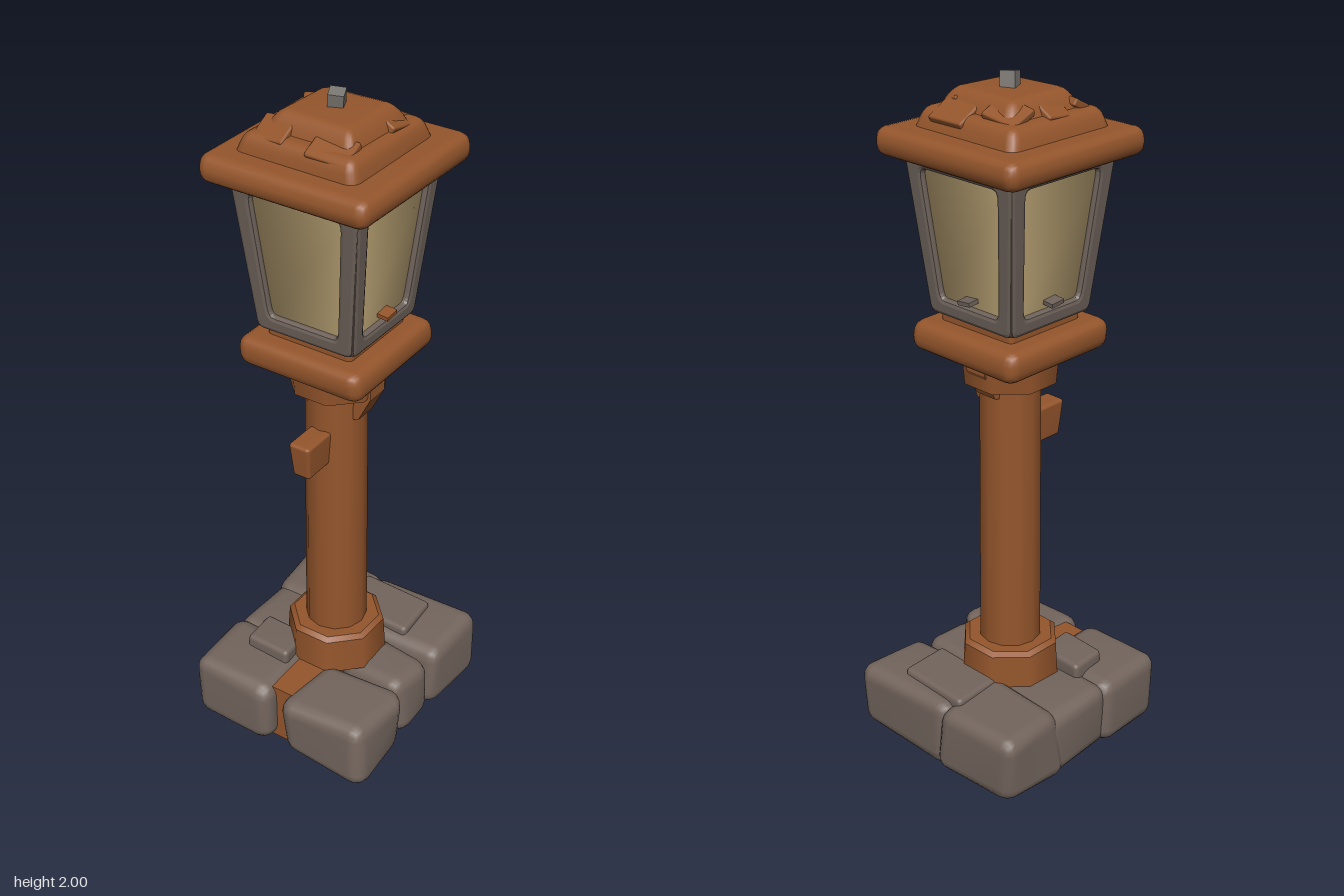
import * as THREE from 'three';
import { mergeVertices } from 'three/addons/utils/BufferGeometryUtils.js';
import { RoundedBoxGeometry } from 'three/addons/geometries/RoundedBoxGeometry.js';

const material = (name, color) => {
  const m = new THREE.MeshStandardMaterial({ color });
  m.name = name;
  return m;
};

export function createModel() {
  const root = new THREE.Group();
  root.name = 'lampPost';
  const wood = material('wood', 0x95562c);
  const stone = material('stone', 0x73655d);
  const iron = material('iron', 0x6e625a);
  const glass = material('glass', 0xbfa777);
  const metal = material('metal', 0x7a7671);

  const add = (name, geometry, mat, pos = [0, 0, 0], rot = [0, 0, 0], parent = root) => {
    const mesh = new THREE.Mesh(geometry, mat);
    mesh.name = name;
    mesh.position.set(...pos);
    mesh.rotation.set(...rot);
    parent.add(mesh);
    return mesh;
  };

  // Soft worn block: rounded box with tapered top and a smooth wobble
  const block = (w, h, d, { r = 0.02, top = 1, wobble = 0, seed = 0, seg = 2 } = {}) => {
    let g = new RoundedBoxGeometry(w, h, d, seg, r);
    const p = g.attributes.position;
    for (let i = 0; i < p.count; i++) {
      const x = p.getX(i), y = p.getY(i), z = p.getZ(i);
      const k = 1 + (top - 1) * (y / h + 0.5);
      p.setXYZ(i,
        x * k + wobble * Math.sin(17 * z + 13 * y + seed),
        y + (y > 0 ? wobble * 0.6 * Math.sin(15 * x + 19 * z + seed * 2) : 0),
        z * k + wobble * Math.sin(16 * x - 14 * y + seed * 3));
    }
    if (wobble || top !== 1) {
      g.deleteAttribute('normal');
      g.deleteAttribute('uv');
      g = mergeVertices(g, 1e-4);
      g.computeVertexNormals();
    }
    return g;
  };

  // Stone footing: [x0, x1, z0, z1, height]
  const stones = [
    [-0.31, -0.025, 0.08, 0.335, 0.21],
    [0.02, 0.31, 0.09, 0.335, 0.205],
    [-0.06, 0.31, -0.335, -0.08, 0.21],
    [-0.315, -0.02, -0.335, -0.09, 0.215],
    [-0.305, -0.05, -0.15, 0.12, 0.2],
    [0.06, 0.29, -0.085, 0.085, 0.2],
  ];
  stones.forEach(([x0, x1, z0, z1, h], i) =>
    add('footingStone' + (i + 1),
      block(x1 - x0, h, z1 - z0, { r: 0.045, top: 0.97, wobble: 0.008, seed: i * 1.7 }),
      stone, [(x0 + x1) / 2, h / 2, (z0 + z1) / 2]));
  add('footingSlab', block(0.15, 0.06, 0.12, { r: 0.015, wobble: 0.004 }), stone, [-0.13, 0.215, 0.13]);
  add('footingSlabBack', block(0.24, 0.05, 0.16, { r: 0.015, wobble: 0.004 }), stone, [0.05, 0.205, -0.2]);
  add('footingCore', new THREE.BoxGeometry(0.1, 0.19, 0.55), wood, [0, 0.1, 0.01]);

  // Post with eight-sided collars
  const collar = (name, rTop, rBottom, y0, y1) =>
    add(name, new THREE.CylinderGeometry(rTop, rBottom, y1 - y0, 8).rotateY(Math.PI / 8), wood, [0, (y0 + y1) / 2, 0]);
  add('post', new THREE.CylinderGeometry(0.088, 0.092, 1.0, 12), wood, [0, 0.7, 0]);
  collar('baseCollar', 0.145, 0.152, 0.19, 0.3);
  collar('baseCollarBevel', 0.13, 0.145, 0.3, 0.312);
  collar('topCollar', 0.143, 0.136, 1.14, 1.215);
  collar('topCollarLip', 0.17, 0.143, 1.205, 1.24);

  // Wedge braces under the capital
  const wedge = new THREE.Shape([[0.05, 1.05], [0.095, 1.06], [0.135, 1.14], [0.135, 1.2], [0.05, 1.2]]
    .map(([x, y]) => new THREE.Vector2(x, y)));
  const braceGeometry = new THREE.ExtrudeGeometry(wedge, { depth: 0.07, bevelEnabled: false }).translate(0, 0, -0.035);
  add('sideBrace', braceGeometry, wood);
  add('backBrace', braceGeometry, wood, [0, 0.05, 0], [0, Math.PI / 2, 0]);

  // Peg on the front of the post, narrower at its foot
  add('peg', block(0.056, 0.11, 0.11, { r: 0.01, top: 1.25 }), wood, [0, 0.965, 0.12]);

  // Capital that carries the lantern
  add('capital', block(0.395, 0.09, 0.395, { r: 0.035, wobble: 0.003 }), wood, [0, 1.268, 0]);
  add('lanternSeat', block(0.27, 0.05, 0.27, { r: 0.015 }), wood, [0, 1.322, 0]);

  // Lantern: four leaning frames with rounded openings
  const lantern = new THREE.Group();
  lantern.name = 'lantern';
  root.add(lantern);
  const y0 = 1.335, y1 = 1.79, b0 = 0.156, b1 = 0.2, bevel = 0.012;
  const lean = Math.atan((b1 - b0) / (y1 - y0));
  const height = (y1 - y0) / Math.cos(lean);

  const frameShape = new THREE.Shape();
  frameShape.moveTo(-b0 + 0.025, bevel);
  frameShape.lineTo(b0 - 0.025, bevel);
  frameShape.quadraticCurveTo(b0 - bevel, bevel, b0 - bevel, 0.035);
  frameShape.lineTo(b1 - bevel, height);
  frameShape.lineTo(-b1 + bevel, height);
  frameShape.lineTo(-b0 + bevel, 0.035);
  frameShape.quadraticCurveTo(-b0 + bevel, bevel, -b0 + 0.025, bevel);

  const corners = [[-0.119, 0.036], [0.119, 0.036], [0.153, 0.425], [-0.153, 0.425]].map(([x, y]) => new THREE.Vector2(x, y));
  const opening = new THREE.Path();
  corners.forEach((c, i) => {
    const a = c.clone().lerp(corners[(i + 3) % 4], 0.1);
    const b = c.clone().lerp(corners[(i + 1) % 4], 0.1);
    if (i) opening.lineTo(a.x, a.y);
    else opening.moveTo(a.x, a.y);
    opening.quadraticCurveTo(c.x, c.y, b.x, b.y);
  });
  opening.closePath();
  frameShape.holes.push(opening);
  const frameGeometry = new THREE.ExtrudeGeometry(frameShape, {
    depth: 0.012, bevelThickness: bevel, bevelSize: bevel, bevelSegments: 2, curveSegments: 4,
  }).translate(0, 0, -0.012 - bevel);

  for (let i = 0; i < 4; i++) {
    const side = new THREE.Group();
    side.name = 'lanternSide' + (i + 1);
    side.rotation.y = i * Math.PI / 2;
    lantern.add(side);
    add('frame', frameGeometry, iron, [0, y0, b0], [lean, 0, 0], side);
    if (i) add('latch', new THREE.BoxGeometry(0.045, 0.012, 0.035), i === 1 ? wood : iron, [0, 1.405, 0.16], [0.1, 0, 0.1], side);
  }
  // Glass body inside the frames
  const inset = 0.018;
  add('glass', new THREE.CylinderGeometry((b1 - inset) * Math.SQRT2, (b0 - inset) * Math.SQRT2, y1 - y0 - 0.02, 4, 1, false, Math.PI / 4),
    glass, [0, (y0 + y1) / 2, 0], [0, 0, 0], lantern);
  add('lanternFloor', new THREE.BoxGeometry(0.28, 0.02, 0.28), iron, [0, 1.346, 0], [0, 0, 0], lantern);

  // Roof: eave slab and two lumpy layers
  const roof = new THREE.Group();
  roof.name = 'roof';
  root.add(roof);
  add('eave', block(0.515, 0.08, 0.515, { r: 0.034, wobble: 0.003, seed: 1 }), wood, [0, 1.812, 0], [0, 0, 0], roof);
  add('lowerRoof', block(0.39, 0.09, 0.39, { r: 0.03, top: 0.86, wobble: 0.006, seed: 2 }), wood, [0, 1.864, 0], [0, 0, 0], roof);
  add('upperRoof', block(0.33, 0.1, 0.31, { r: 0.035, top: 0.68, wobble: 0.006, seed: 4 }), wood, [0, 1.904, 0], [0, 0, 0], roof);

  // Loose shingles on the slopes: [x, y, z, width, tilt about x, tilt about z]
  [
    [-0.1, 1.908, 0.125, 0.1, 0.5, 0.1], [0.08, 1.902, 0.135, 0.12, 0.45, -0.05],
    [0.115, 1.918, -0.07, 0.08, -0.2, -0.45], [-0.09, 1.918, -0.1, 0.11, -0.4, 0.2],
    [-0.125, 1.912, 0.02, 0.08, 0.1, 0.5], [0.06, 1.9, -0.14, 0.12, -0.5, 0],
  ].forEach(([x, y, z, w, rx, rz], i) =>
    add('shingle' + (i + 1), block(w, 0.022, 0.085, { r: 0.006, seg: 1 }), wood, [x, y, z], [rx, 0, rz], roof));

  // Bent metal finial
  add('finial', new THREE.BoxGeometry(0.042, 0.075, 0.042), metal, [0, 1.958, 0], [0.2, 0.4, -0.15], roof);

  return root;
}
